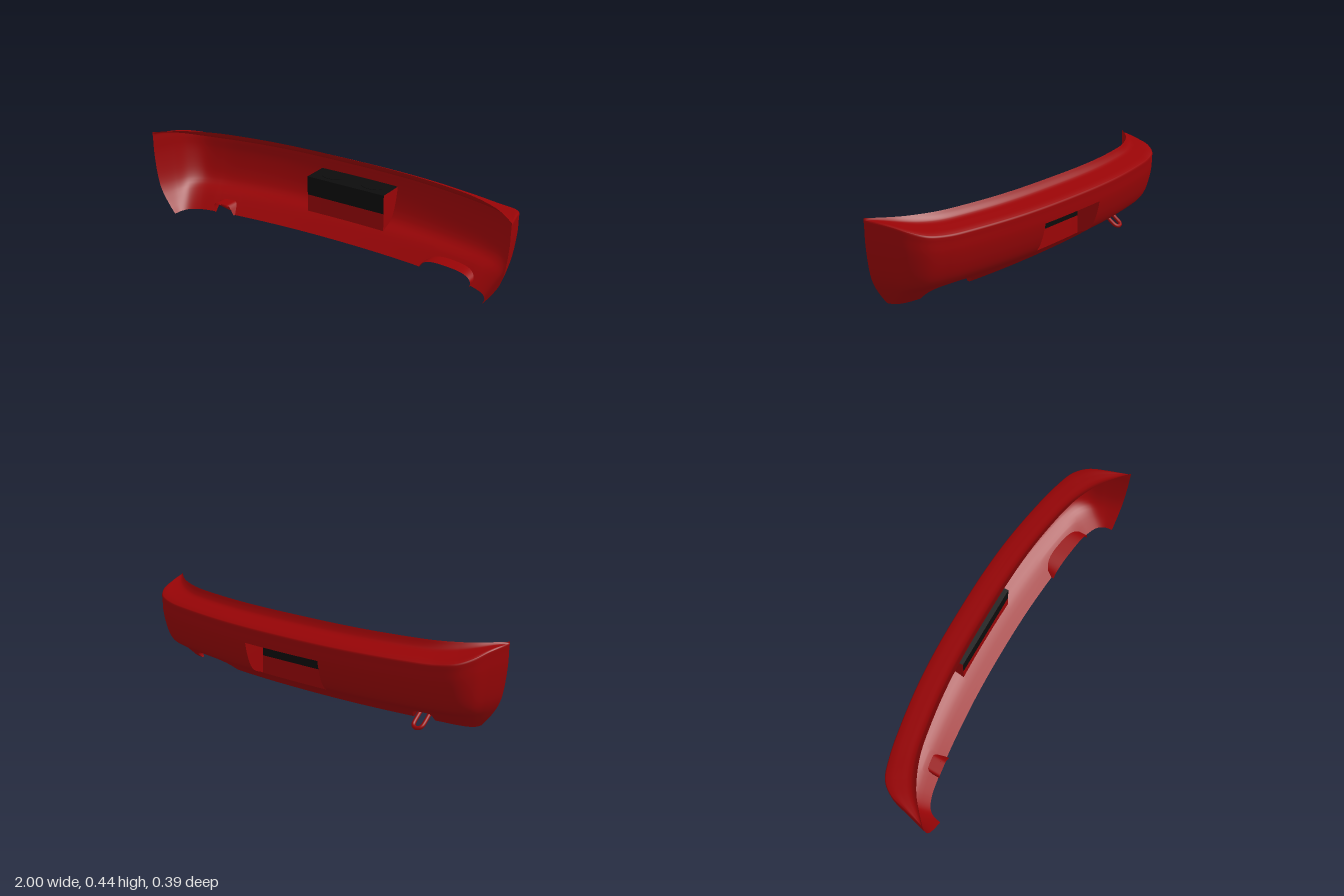
import * as THREE from 'three';

const red = new THREE.MeshStandardMaterial({ color: 0x980406, side: THREE.DoubleSide });
const black = new THREE.MeshStandardMaterial({ color: 0x0c0c0c, side: THREE.DoubleSide });

// Plan curves (x, z) of one half, from the middle to the end; mirrored to a full curve
function planCurve(half) {
  const left = half.map(([x, z]) => new THREE.Vector3(x, 0, z));
  const right = half.slice(1).reverse().map(([x, z]) => new THREE.Vector3(-x, 0, z));
  return new THREE.CatmullRomCurve3([...right, ...left]);
}
const topRim = planCurve([[0, -0.05], [0.22, -0.047], [0.4, -0.035], [0.58, -0.01], [0.72, 0.02],
  [0.82, 0.06], [0.89, 0.1], [0.95, 0.15], [0.998, 0.195]]);
const belt = planCurve([[0, -0.195], [0.22, -0.191], [0.42, -0.176], [0.64, -0.143], [0.79, -0.11],
  [0.89, -0.07], [0.94, -0.01], [0.968, 0.08], [0.998, 0.195]]);
const bottomRim = planCurve([[0, 0.03], [0.22, 0.034], [0.4, 0.045], [0.6, 0.065], [0.72, 0.083],
  [0.8, 0.1], [0.85, 0.125], [0.872, 0.155], [0.88, 0.195]]);

// Profile: blend (-1 top rim, 0 belt, 1 bottom rim), height in the middle, height at the ends
const profileNodes = [[-1, 0.433, 0.437], [-0.93, 0.415, 0.434], [-0.82, 0.398, 0.431], [-0.5, 0.386, 0.428],
  [-0.08, 0.37, 0.423], [0, 0.358, 0.412], [0.02, 0.285, 0.33], [0.13, 0.19, 0.215], [0.275, 0.135, 0.145],
  [0.6, 0.098, 0.075], [1, 0.027, 0.013]];
const profile = new THREE.CatmullRomCurve3(profileNodes.map((p) => new THREE.Vector3(...p)));
const SEG = profileNodes.length - 1;
const COLS = 16 * 22, SUB = 4, ROWS = SEG * SUB;

// Cut-outs in the lower edge: centre, half width, top height, squareness
const notches = [
  { name: 'exhaustCutoutWall', x: 0.635, w: 0.147, top: 0.08, p: 3 },
  { name: 'towEyeCutoutWall', x: -0.655, w: 0.052, top: 0.076, p: 6 },
];

function onPlan(u, k) {
  const from = belt.getPoint(u);
  return from.lerp((k < 0 ? topRim : bottomRim).getPoint(u), Math.abs(k));
}

// Surface point of the shell at column u and profile position v (both 0..1)
function shellPoint(u, v) {
  const e = THREE.MathUtils.smoothstep(Math.abs(2 * u - 1), 0.45, 1);
  const height = (s) => THREE.MathUtils.lerp(s[1], s[2], e);
  const vLast = (SEG - 1) / SEG;
  if (v > vLast) {
    const x = onPlan(u, 0.85).x;
    for (const n of notches) {
      const r = Math.abs(x - n.x) / n.w;
      if (r >= 1) continue;
      const yTop = height(profileNodes[SEG - 1]), yEnd = height(profileNodes[SEG]);
      const cut = yEnd + (n.top - yEnd) * Math.sqrt(1 - r ** n.p);
      v = vLast + (v - vLast) * Math.max(0, yTop - cut) / (yTop - yEnd);
    }
  }
  const s = profile.getPoint(v).toArray();
  const p = onPlan(u, s[0]);
  p.y = height(s);
  return p;
}

// Quad grid from a point function, optionally leaving quads out
function grid(nu, nv, point, skip = () => false) {
  const pos = [], index = [];
  for (let i = 0; i <= nu; i++) {
    for (let j = 0; j <= nv; j++) pos.push(...point(i / nu, j / nv).toArray());
  }
  for (let i = 0; i < nu; i++) {
    for (let j = 0; j < nv; j++) {
      if (skip(i, j)) continue;
      const a = i * (nv + 1) + j, b = a + nv + 1;
      index.push(a, b, a + 1, b, b + 1, a + 1);
    }
  }
  const g = new THREE.BufferGeometry();
  g.setAttribute('position', new THREE.Float32BufferAttribute(pos, 3));
  g.setIndex(index);
  g.computeVertexNormals();
  return g;
}

export function createModel() {
  const model = new THREE.Group();
  model.name = 'rearBumper';
  const add = (name, geometry, material, parent = model) => {
    const mesh = new THREE.Mesh(geometry, material);
    mesh.name = name;
    parent.add(mesh);
    return mesh;
  };

  // Outer skin with an opening for the plate recess
  const c0 = COLS * 7 / 16, c1 = COLS * 9 / 16, r0 = 6 * SUB, r1 = 9 * SUB;
  add('bumperSkin', grid(COLS, ROWS, shellPoint,
    (i, j) => i >= c0 && i < c1 && j >= r0 && j < r1), red);

  // Plate recess: side walls, ceiling, black upper and red lower back wall
  const recess = new THREE.Group();
  recess.name = 'plateRecess';
  model.add(recess);
  const backZ = -0.055, yTop = 0.285, yMid = 0.188;
  for (const [name, u] of [['recessRightWall', 7 / 16], ['recessLeftWall', 9 / 16]]) {
    add(name, grid(1, r1 - r0, (a, b) => {
      const p = shellPoint(u, (6 + 3 * b) / SEG);
      p.z = THREE.MathUtils.lerp(p.z, Math.max(p.z, backZ), a);
      return p;
    }), red, recess);
  }
  const strip = (name, node, target, material) => add(name, grid(c1 - c0, 1, (a, b) => {
    const p = shellPoint((7 + 2 * a) / 16, node / SEG);
    return p.lerp(new THREE.Vector3(p.x, target, backZ), b);
  }), material, recess);
  strip('recessCeiling', 6, yTop, black);
  strip('recessLowerWall', 9, yMid, red);
  add('recessUpperWall', new THREE.PlaneGeometry(0.44, yTop - yMid), black, recess)
    .position.set(0, (yTop + yMid) / 2, backZ);

  // Plate lamps set into the ceiling
  for (const x of [-0.115, 0.115]) {
    const lamp = add('plateLamp', new THREE.CylinderGeometry(0.03, 0.03, 0.02, 24), black, recess);
    lamp.scale.set(1.9, 1, 1);
    lamp.position.set(x, yTop - 0.008, -0.115);
  }

  // Inward-turned walls around the exhaust and tow eye cut-outs
  for (const n of notches) {
    const inside = (i) => Math.abs(onPlan(i / COLS, 0.85).x - n.x) < n.w;
    let first = 0, last = COLS;
    while (!inside(first + 1)) first++;
    while (!inside(last - 1)) last--;
    add(n.name, grid(last - first, 1, (a, b) => {
      const u = (first + a * (last - first)) / COLS;
      const p = shellPoint(u, 1);
      p.z = THREE.MathUtils.lerp(p.z, bottomRim.getPoint(u).z + 0.012, b);
      return p;
    }), red);
  }

  // Tow eye: a U-shaped bar tilted down and rearward
  const bar = [new THREE.Vector3(-0.025, 0.075, 0)];
  for (let i = 0; i <= 8; i++) {
    const a = Math.PI * (1 + i / 8);
    bar.push(new THREE.Vector3(0.025 * Math.cos(a), 0.025 * Math.sin(a), 0));
  }
  bar.push(new THREE.Vector3(0.025, 0.075, 0));
  const eye = add('towEye', new THREE.TubeGeometry(new THREE.CatmullRomCurve3(bar), 40, 0.01, 10), red);
  eye.position.set(-0.66, 0.0255, 0.003);
  eye.rotation.x = 0.93;

  return model;
}
